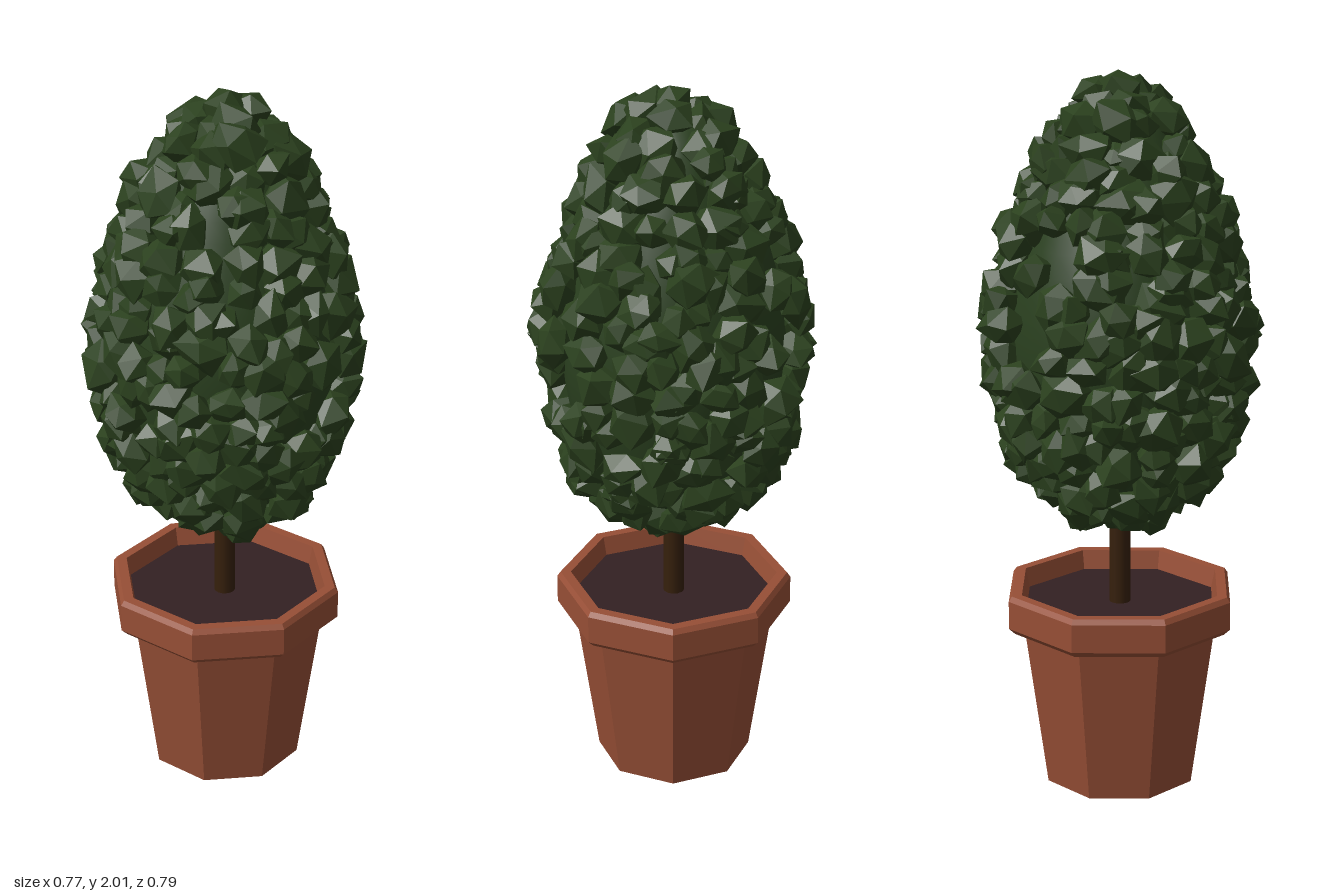
import * as THREE from 'three';
import { mergeGeometries, mergeVertices } from 'three/addons/utils/BufferGeometryUtils.js';

const material = (name, color, flatShading = true) =>
  Object.assign(new THREE.MeshStandardMaterial({ color, flatShading }), { name });

// Small seeded generator
function seeded(seed) {
  return () => {
    seed = (seed * 1664525 + 1013904223) % 4294967296;
    return seed / 4294967296;
  };
}

const vec2 = ([x, y]) => new THREE.Vector2(x, y);

// Octagonal lathe with flat sides facing the axes; radii are given to the flats
function octagon(profile) {
  const k = 1 / Math.cos(Math.PI / 8);
  return new THREE.LatheGeometry(profile.map(([r, y]) => vec2([r * k, y])), 8, Math.PI / 8);
}

// Irregular low-poly leaf clump of unit radius
function leafClump(rand) {
  const ico = new THREE.IcosahedronGeometry(1, 0);
  ico.deleteAttribute('uv');
  ico.deleteAttribute('normal');
  const clump = mergeVertices(ico, 1e-3);
  const pos = clump.attributes.position;
  const v = new THREE.Vector3();
  const jitter = () => (rand() - 0.5) * 0.3;
  for (let i = 0; i < pos.count; i++) {
    v.fromBufferAttribute(pos, i).multiplyScalar(0.85 + rand() * 0.25);
    pos.setXYZ(i, v.x + jitter(), v.y + jitter(), v.z + jitter());
  }
  return clump.toNonIndexed();
}

// Thin spots in the foliage: [angle, half width, height, half height]
const thinSpots = [[1.62, 0.2, 1.33, 0.22], [3.85, 0.3, 1.42, 0.2], [6.15, 0.14, 1.45, 0.12]];
const isThin = (a, y) => thinSpots.some(([angle, halfWidth, height, halfHeight]) =>
  Math.abs(a - angle) < halfWidth && Math.abs(y - height) < halfHeight);

export function createModel() {
  const group = new THREE.Group();
  const terracotta = material('terracotta', 0x974f36);
  const soilBrown = material('soil brown', 0x332022);
  const bark = material('bark', 0x36200c, false);
  const leafGreen = material('leaf green', 0x2b411e);
  const innerGreen = material('inner leaf green', 0x2a401f, false);

  const add = (name, geometry, mat) => {
    const mesh = new THREE.Mesh(geometry, mat);
    mesh.name = name;
    group.add(mesh);
  };

  // Pot: closed base, tapering wall, bevelled rim and sloping inner wall
  add('pot', octagon([
    [0, 0], [0.202, 0], [0.262, 0.459], [0.29, 0.459], [0.306, 0.476],
    [0.306, 0.556], [0.297, 0.57], [0.27, 0.57], [0.256, 0.5],
  ]), terracotta);
  add('soil', octagon([[0.261, 0.516], [0, 0.516]]), soilBrown);

  // Trunk
  add('trunk', new THREE.CylinderGeometry(0.028, 0.03, 0.5, 12).translate(0, 0.75, 0), bark);

  // Foliage: egg-shaped core, wider below the middle
  const outline = new THREE.SplineCurve([
    [0, 0.775], [0.14, 0.815], [0.25, 0.92], [0.31, 1.08], [0.338, 1.27],
    [0.315, 1.46], [0.25, 1.65], [0.18, 1.8], [0.105, 1.91], [0, 1.94],
  ].map(vec2));
  const corePoints = outline.getPoints(28);
  corePoints.forEach((p) => { p.x *= 0.9; });
  add('foliageCore', new THREE.LatheGeometry(corePoints, 28), innerGreen);

  // Leaf clumps scattered in rings over the core
  const rand = seeded(71);
  const shapes = Array.from({ length: 8 }, () => leafClump(rand));
  const clumps = [];
  const dummy = new THREE.Object3D();
  const spin = new THREE.Quaternion();
  const axis = new THREE.Vector3(0, 0, 1);
  const rows = 20;
  for (let row = 0; row <= rows; row++) {
    const u = row / rows;
    const p = outline.getPointAt(u);
    const t = outline.getTangentAt(u);
    const count = Math.max(1, Math.round((2 * Math.PI * p.x) / 0.09));
    for (let i = 0; i < count; i++) {
      const a = ((i + 0.5 + (row % 2) / 2 + (rand() - 0.5)) / count) * Math.PI * 2;
      if (isThin(a, p.y) && rand() < 0.8) continue;
      const normal = new THREE.Vector3(Math.sin(a) * t.y, -t.x, Math.cos(a) * t.y);
      dummy.position.set(Math.sin(a) * p.x, p.y + (rand() - 0.5) * 0.04, Math.cos(a) * p.x)
        .addScaledVector(normal, (rand() - 0.7) * 0.03);
      dummy.quaternion.setFromUnitVectors(axis, normal)
        .multiply(spin.setFromAxisAngle(axis, rand() * Math.PI * 2));
      const size = 0.053 + rand() * 0.022;
      dummy.scale.set(size * (0.9 + rand() * 0.3), size, 0.052 + rand() * 0.01);
      dummy.updateMatrix();
      clumps.push(shapes[Math.floor(rand() * shapes.length)].clone().applyMatrix4(dummy.matrix));
    }
  }
  const leaves = mergeGeometries(clumps);
  leaves.computeVertexNormals();
  add('leafClumps', leaves, leafGreen);

  return group;
}
